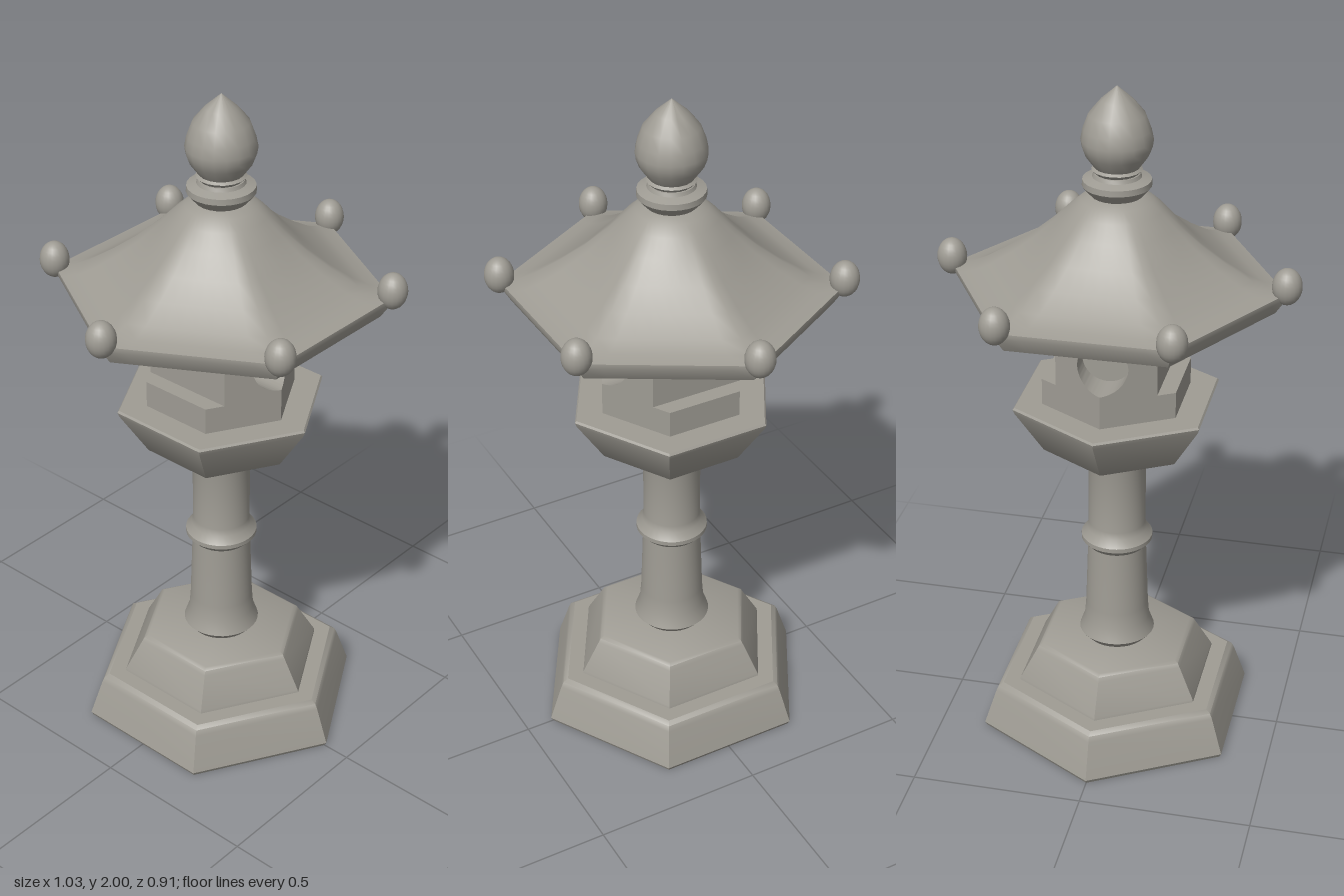
import * as THREE from 'three';
import { toCreasedNormals } from 'three/addons/utils/BufferGeometryUtils.js';

export function createModel() {
  const lantern = new THREE.Group();
  lantern.name = 'stoneLantern';
  const stone = new THREE.MeshStandardMaterial({ color: 0x9f9c94 });
  stone.name = 'grey stone';

  const add = (name, geometry, parent = lantern) => {
    const mesh = new THREE.Mesh(geometry, stone);
    mesh.name = name;
    parent.add(mesh);
    return mesh;
  };
  // Profile of [radius, y] pairs, bottom to top; six sides put corners on +z and -z
  const turned = (profile, sides) =>
    new THREE.LatheGeometry(profile.map(([r, y]) => new THREE.Vector2(r, y)), sides);
  const addTurned = (name, profile, sides, crease = 0.6) =>
    add(name, toCreasedNormals(turned(profile, sides), crease));

  // Stepped hexagonal foot
  addTurned('lowerBase', [[0, 0], [0.415, 0], [0.422, 0.012], [0.383, 0.122], [0.375, 0.138], [0.36, 0.147], [0, 0.147]], 6);
  addTurned('upperBase', [[0, 0.14], [0.308, 0.147], [0.306, 0.155], [0.253, 0.246], [0.246, 0.258], [0.234, 0.265], [0, 0.265]], 6);

  // Round post with flared ends and a middle ring
  addTurned('post', [
    [0, 0.26], [0.092, 0.265], [0.112, 0.288], [0.109, 0.296], [0.097, 0.33], [0.093, 0.38],
    [0.086, 0.585], [0.105, 0.605], [0.105, 0.618], [0.088, 0.64], [0.084, 0.66],
    [0.084, 0.87], [0.09, 0.895], [0.112, 0.925], [0, 0.93],
  ], 32);

  // Hexagonal bowl under the light chamber
  addTurned('platform', [[0, 0.925], [0.208, 0.925], [0.22, 0.932], [0.304, 1.062], [0.309, 1.075], [0.304, 1.081], [0, 1.081]], 6);

  // Light chamber: sill, lintel, and a narrower middle with round recesses on the corners
  const R = 0.222, low = 1.16, high = 1.353, halfWidth = 0.145, holeRadius = 0.072, floorZ = 0.12;
  const chamber = new THREE.Group();
  chamber.name = 'lightChamber';
  lantern.add(chamber);
  for (const [name, y0, y1] of [['sill', 1.075, low], ['lintel', high, 1.39]]) {
    const slab = new THREE.CylinderGeometry(R, R, y1 - y0, 6);
    add(name, toCreasedNormals(slab, 0.5), chamber).position.y = (y0 + y1) / 2;
  }
  const core = add('chamberCore', new THREE.BoxGeometry(halfWidth * 2, high - low, floorZ * 2), chamber);
  core.position.y = (low + high) / 2;

  // Half of a corner wall, notched by half the round recess, sloped along the hexagon
  const halfWall = (side) => {
    const s = new THREE.Shape();
    const cy = 1.252;
    s.moveTo(0, low);
    s.lineTo(side * halfWidth, low);
    s.lineTo(side * halfWidth, high);
    s.lineTo(0, high);
    s.lineTo(0, cy + holeRadius);
    s.absarc(0, cy, holeRadius, Math.PI / 2, -Math.PI / 2 * (side > 0 ? 1 : -3), side > 0);
    s.lineTo(0, low);
    const g = new THREE.ExtrudeGeometry(s, { depth: 1, bevelEnabled: false, curveSegments: 20 });
    const p = g.attributes.position;
    for (let i = 0; i < p.count; i++) {
      p.setZ(i, p.getZ(i) > 0.5 ? R - Math.abs(p.getX(i)) / Math.sqrt(3) : floorZ);
    }
    return toCreasedNormals(g, 0.4);
  };
  for (const turn of [0, Math.PI]) {
    for (const side of [-1, 1]) add('recessedWall', halfWall(side), chamber).rotation.y = turn;
  }

  // Roof: hexagonal at the eaves, blending to round at the crown, corners on +x and -x
  const roof = turned([
    [0, 1.38], [0.445, 1.38], [0.475, 1.425], [0.475, 1.44], [0.43, 1.447], [0.38, 1.468], [0.31, 1.51],
    [0.24, 1.558], [0.175, 1.612], [0.13, 1.655], [0.1, 1.68], [0.07, 1.692], [0, 1.694],
  ], 48);
  const rp = roof.attributes.position;
  for (let i = 0; i < rp.count; i++) {
    const x = rp.getX(i), z = rp.getZ(i), sector = Math.PI / 3;
    const a = Math.atan2(z, x);
    const local = a - sector * Math.floor(a / sector) - sector / 2;
    const hex = Math.cos(sector / 2) / Math.cos(local);
    const blend = rp.getY(i) < 1.4 ? 1 : THREE.MathUtils.smoothstep(Math.hypot(x, z), 0.08, 0.3);
    const k = 1 + (hex - 1) * blend;
    rp.setX(i, x * k);
    rp.setZ(i, z * k);
  }
  add('roof', toCreasedNormals(roof, 0.7));

  // Egg-shaped knobs on the six roof corners
  const knob = new THREE.SphereGeometry(0.042, 20, 14).scale(1, 1.26, 1);
  for (let i = 0; i < 6; i++) {
    const a = i * Math.PI / 3;
    add('cornerKnob', knob).position.set(0.475 * Math.cos(a), 1.463, 0.475 * Math.sin(a));
  }

  // Collar and pointed bud on top
  addTurned('collar', [[0, 1.685], [0.07, 1.69], [0.088, 1.71], [0.096, 1.72], [0.095, 1.737], [0.068, 1.745], [0.064, 1.755], [0, 1.76]], 24);
  addTurned('finial', [
    [0, 1.74], [0.05, 1.745], [0.07, 1.766], [0.062, 1.772], [0.088, 1.808], [0.096, 1.83],
    [0.099, 1.85], [0.093, 1.88], [0.078, 1.92], [0.045, 1.96], [0, 2],
  ], 18, 0.7);

  return lantern;
}
